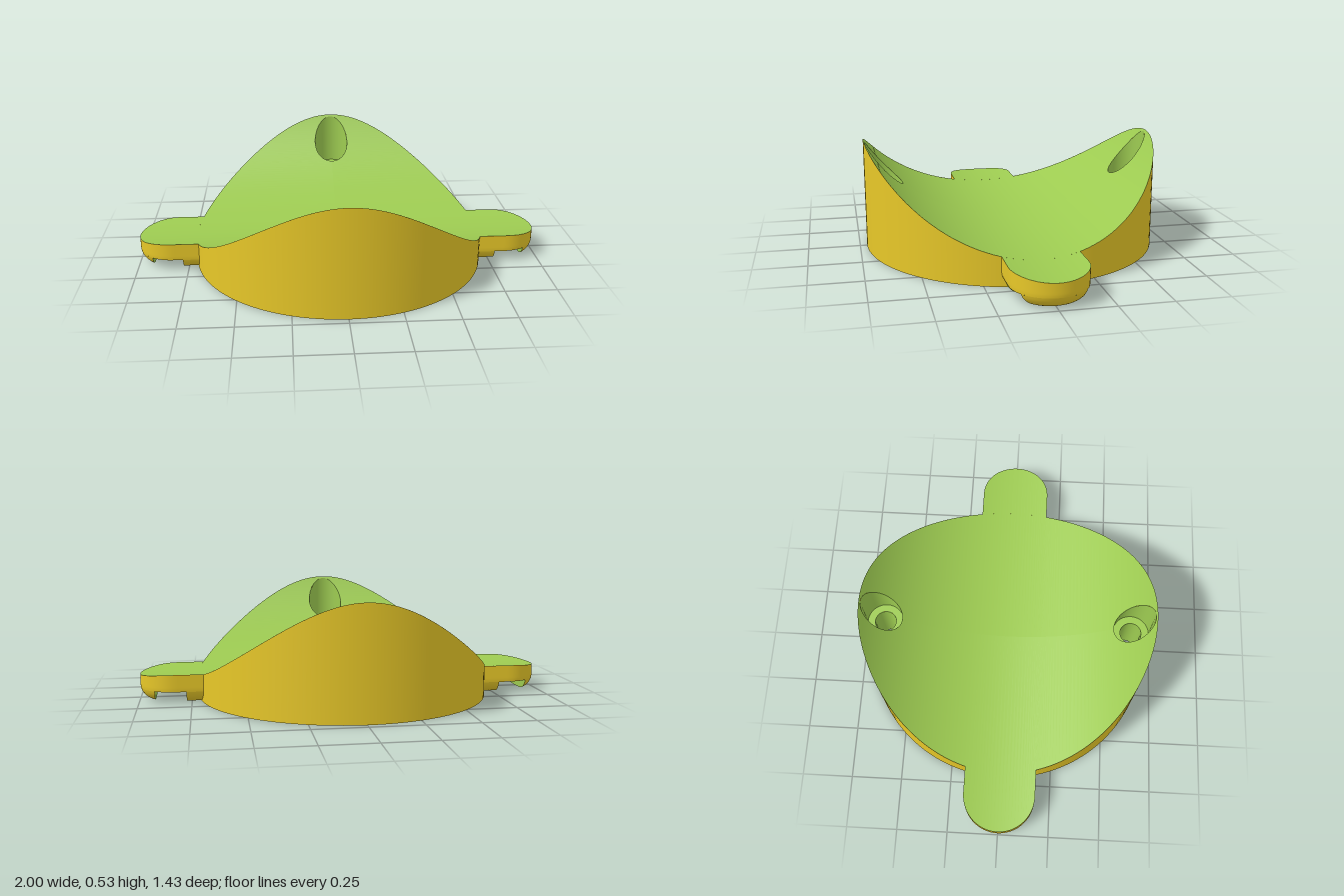
import * as THREE from 'three';
import { ParametricGeometry } from 'three/addons/geometries/ParametricGeometry.js';

const R = 0.716;                              // body radius
const W = 0.175, TX = 0.825;                  // tab half width, centre of its round end
const FILLET = 0.07;                          // rounding under the tabs
const SLOT0 = 0.775, SLOT1 = 0.925, SLOT_Y = 0.055;
const HOLE_Z = 0.62, BORE = 0.09, DRILL = 0.053, SEAT_Y = 0.26;

const yellow = new THREE.MeshStandardMaterial({ color: 0xf9d72c, side: THREE.DoubleSide });
yellow.name = 'yellow';
const green = new THREE.MeshStandardMaterial({ color: 0x9dcb51, side: THREE.DoubleSide });
green.name = 'green';

const lerp = THREE.MathUtils.lerp;
// Height of the scooped top, a cylinder lying along x
const topY = (z) => 0.952 - Math.sqrt(0.832 ** 2 - z * z);
// Half width of a tab at height y
const tabHalf = (y) => (y >= FILLET ? W : W - FILLET + Math.sqrt(FILLET ** 2 - (FILLET - y) ** 2));
const chord = (r, d) => Math.sqrt(Math.max(0, r * r - d * d));

function add(parent, name, geometry, material) {
  const mesh = new THREE.Mesh(geometry, material);
  mesh.name = name;
  parent.add(mesh);
  return mesh;
}

// Grid surface from a rule; it faces along (u direction) x (v direction)
function surface(nu, nv, rule) {
  const g = new ParametricGeometry((u, v, p) => p.set(...rule(u, v)), nu, nv);
  g.computeVertexNormals();
  return g;
}

// Open upright tube whose upper rim follows the scooped top
function trimmedTube(radius, y0, zOffset, segments) {
  const g = new THREE.CylinderGeometry(radius, radius, 1, segments, 1, true);
  const p = g.attributes.position;
  for (let i = 0; i < p.count; i++) {
    const z = p.getZ(i) + zOffset;
    p.setXYZ(i, p.getX(i), p.getY(i) > 0 ? topY(z) : y0, z);
  }
  return g;
}

// Scooped top, laid in strips along z and split around the bores
function buildTop(parent) {
  const none = () => 0;
  const round = (z) => chord(R, z);
  const bore = (z) => chord(BORE, Math.abs(z) - HOLE_Z);
  const a = HOLE_Z - BORE, b = HOLE_Z + BORE;
  const strips = [
    [-R, -b, none, round], [-b, -a, bore, round], [-a, -W, none, round],
    [-W, W, none, (z) => TX + chord(W, z)],
    [W, a, none, round], [a, b, bore, round], [b, R, none, round],
  ];
  for (const [z0, z1, inner, outer] of strips) {
    for (const s of [-1, 1]) {
      add(parent, 'scoopedTop', surface(32, 1, (u, v) => {
        const z = lerp(z0, z1, (1 - Math.cos(Math.PI * u)) / 2);
        const x = lerp(inner(z), outer(z), s > 0 ? v : 1 - v);
        return [s * x, topY(z), z];
      }), green);
    }
  }
}

// Counterbored screw hole at +z
function buildHole() {
  const hole = new THREE.Group();
  hole.name = 'screwHole';
  add(hole, 'boreWall', trimmedTube(BORE, SEAT_Y, HOLE_Z, 48), green);
  const seat = new THREE.RingGeometry(DRILL, BORE, 48).rotateX(-Math.PI / 2);
  add(hole, 'boreSeat', seat, green).position.set(0, SEAT_Y, HOLE_Z);
  const drill = new THREE.CylinderGeometry(DRILL, DRILL, SEAT_Y, 40, 1, true);
  add(hole, 'drilledWall', drill, green).position.set(0, SEAT_Y / 2, HOLE_Z);
  return hole;
}

// Flat face looking down, with its half depth given by a rule
const underside = (x0, x1, y, half) => surface(12, 1, (u, v) => {
  const x = lerp(x0, x1, u);
  return [x, y, half(x) * (2 * v - 1)];
});

// Slotted tab at +x
function buildTab() {
  const tab = new THREE.Group();
  tab.name = 'tab';
  const root = 0.65, h0 = tabHalf(0), hs = tabHalf(SLOT_Y);
  const lowY = (v) => SLOT_Y * v * v;
  const lipHalf = (y) => chord(tabHalf(y), SLOT1 - TX);

  // Rim above the slot
  add(tab, 'tabRim', surface(64, 8, (u, v) => {
    const turn = Math.PI / 2 - (THREE.MathUtils.clamp(u, 0.25, 0.75) - 0.25) * 2 * Math.PI;
    const straight = Math.min(1, Math.min(u, 1 - u) * 4);
    const y = lerp(SLOT_Y, topY(W * Math.sin(turn)), v);
    const h = tabHalf(y);
    return [lerp(root, TX, straight) + h * Math.cos(turn), y, h * Math.sin(turn)];
  }), yellow);

  // Rounded lip beyond the slot
  add(tab, 'tabLip', surface(32, 10, (u, v) => {
    const y = lowY(v), h = tabHalf(y);
    const angle = Math.acos((SLOT1 - TX) / h) * (1 - 2 * u);
    return [TX + h * Math.cos(angle), y, h * Math.sin(angle)];
  }), yellow);

  // Rounded sides between body and slot
  for (const s of [-1, 1]) {
    add(tab, 'tabFootSide', surface(1, 10, (u, v) => {
      const y = lowY(v);
      return [lerp(root, SLOT0, s > 0 ? u : 1 - u), y, s * tabHalf(y)];
    }), yellow);
  }
  add(tab, 'tabFootBottom', underside(0.7, SLOT0, 0, () => h0), yellow);
  add(tab, 'tabLipBottom', underside(SLOT1, TX + h0, 0, (x) => chord(h0, x - TX)), yellow);

  // Slot faces
  add(tab, 'slotCeiling', underside(SLOT0, SLOT1, SLOT_Y, (x) => chord(hs, Math.max(0, x - TX))), green);
  add(tab, 'slotInnerFace', surface(1, 10, (u, v) => {
    const y = lowY(v);
    return [SLOT0, y, tabHalf(y) * (1 - 2 * u)];
  }), green);
  add(tab, 'slotOuterFace', surface(1, 10, (u, v) => {
    const y = lowY(v);
    return [SLOT1, y, lipHalf(y) * (2 * u - 1)];
  }), green);
  return tab;
}

export function createModel() {
  const model = new THREE.Group();
  model.name = 'saddleMount';

  add(model, 'bodyWall', trimmedTube(R, 0, 0, 128), yellow);
  buildTop(model);

  // Base disc with drilled holes
  const disc = new THREE.Shape().absarc(0, 0, R, 0, Math.PI * 2);
  for (const s of [-1, 1]) {
    disc.holes.push(new THREE.Path().absarc(0, s * HOLE_Z, DRILL, 0, Math.PI * 2, true));
  }
  add(model, 'base', new THREE.ShapeGeometry(disc, 64).rotateX(Math.PI / 2), yellow);

  // Matching holes and tabs, half a turn apart
  for (const turn of [0, Math.PI]) {
    for (const part of [buildHole(), buildTab()]) {
      part.rotation.y = turn;
      model.add(part);
    }
  }
  return model;
}
